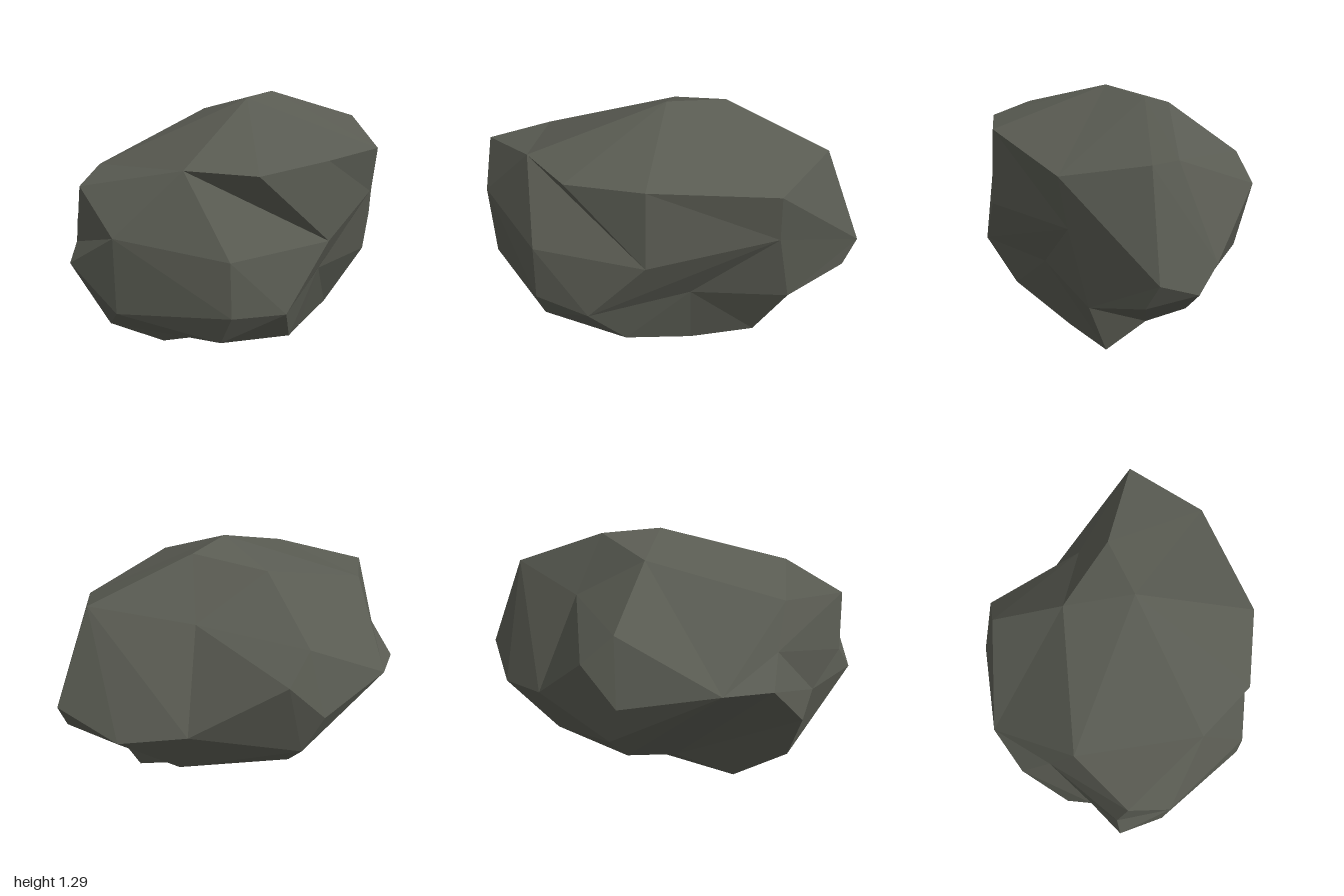
import * as THREE from 'three';
import { ConvexGeometry } from 'three/addons/geometries/ConvexGeometry.js';

// Corners of the boulder: x, y, z
const CORNERS = [
  .81, 1.08, 0, 1, .6, 0, .64, 1, .39, .28, 1.27, -.07, .01, 1.29, .08,
  -.03, 1.18, -.26, .06, 1.09, .66, -.33, 1.08, .65, -.59, 1.1, .44, -.94, 1.01, .12,
  -.71, 1.01, -.15, .36, .97, -.23, .13, .76, -.69, -.02, .9, -.64, -.06, .57, -.72,
  -.53, .65, -.6, -.73, .64, -.43, -.71, .79, -.28, -.83, .43, -.2, -.85, .55, -.07,
  -.95, .73, .07, -.89, .81, .32, -1, .64, .09, -.88, .43, .3, -.74, .18, -.07,
  -.45, 0, -.04, -.2, .18, -.27, -.02, .24, -.49, .51, .475, -.4, .48, .23, -.25,
  .8, .45, -.23, .01, .37, -.64, .06, .7, .68, -.5, .72, .67, -.22, .41, .72,
  -.5, .45, .68, .64, .75, .35, .22, .43, .43, .69, .375, .265, .94, .47, .05,
  .51, .05, .16, .2, .05, .31, -.08, .19, .57, -.5, .29, .59, .41, .14, -.06,
  -.43, .24, .27,
];
// Crease lines that run from corner to corner
const CREASES = [
  // top and back
  [8, 9, 10, 5, 3, 11, 0, 28, 11, 12, 13, 5, 11], [13, 15, 14, 31, 28, 12, 14],
  [5, 15, 10, 8, 4, 10],
  // right flank and underside
  [15, 31, 27, 29, 30, 28], [1, 30, 44, 29, 26, 44, 25, 26, 27],
  [30, 39, 38, 44, 40, 38], [40, 25, 41], [16, 26, 18, 25],
  // left flank
  [10, 17, 16, 19, 17, 20, 19, 18, 16], [9, 20, 22, 19, 24, 18], [24, 22, 23, 21],
  [9, 21, 22], [20, 21],
  // front
  [23, 24, 45, 25, 24, 43, 45, 41, 43, 23], [41, 42, 43, 34, 35, 43],
  [23, 35, 21, 33, 35], [21, 8, 33, 32, 8, 7, 32, 34, 33], [32, 6, 36, 32],
  [34, 36, 37, 34, 42, 37, 41], [40, 37, 38, 36, 2, 1, 38],
];

const has = (face, ...ids) => ids.every(i => face.includes(i));
const triple = (p, q, r) => p.dot(q.clone().cross(r));

// Triangles of the hull, as corner indices
function hullFaces(points) {
  const pos = new ConvexGeometry(points).attributes.position;
  const v = new THREE.Vector3(), faces = [];
  for (let i = 0; i < pos.count; i++) {
    v.fromBufferAttribute(pos, i);
    let best = 0;
    points.forEach((p, k) => {
      if (p.distanceToSquared(v) < points[best].distanceToSquared(v)) best = k;
    });
    if (i % 3 === 0) faces.push([]);
    faces[faces.length - 1].push(best);
  }
  return faces;
}

// Corners are rounded towards a ball, and dented ones pushed out, until a hull joins them all
function connect(rays) {
  const points = rays.map(r => {
    const p = new THREE.Vector3(r.x, r.y * 1.5, r.z * 1.4);
    return p.multiplyScalar(p.length() ** -.5);
  });
  let faces;
  for (let step = 0; step < 150; step++) {
    faces = hullFaces(points);
    const used = new Set(faces.flat());
    if (used.size === points.length) break;
    points.forEach((p, i) => { if (!used.has(i)) p.multiplyScalar(1.01); });
  }
  return faces;
}

// True where edge c-d, seen from the centre, crosses the line a-b
function crosses(rays, a, b, c, d) {
  if ([a, b].includes(c) || [a, b].includes(d)) return false;
  const [A, B, C, D] = [a, b, c, d].map(i => rays[i]);
  return triple(A, B, C) * triple(A, B, D) < 0 && triple(C, D, A) * triple(C, D, B) < 0
    && A.clone().add(B).dot(C.clone().add(D)) > 0;
}

// Swap the diagonal c-d of two neighbouring triangles, if both stay facing outwards
function flip(faces, rays, c, d) {
  const f = faces.find(t => has(t, c, d)), g = faces.find(t => t !== f && has(t, c, d));
  const k = f.findIndex(i => i !== c && i !== d);
  const a = f[k], b = g.find(i => i !== c && i !== d);
  const next = [[a, f[(k + 1) % 3], b], [a, b, f[(k + 2) % 3]]];
  if (next.some(t => triple(...t.map(i => rays[i])) <= 0)) return false;
  f.splice(0, 3, ...next[0]);
  g.splice(0, 3, ...next[1]);
  return true;
}

// Clear away the edges that cross a-b until the two corners are joined
function crease(faces, rays, a, b) {
  for (let step = 0; step < 40 && !faces.some(f => has(f, a, b)); step++) {
    const crossing = [];
    for (const f of faces) {
      f.forEach((c, i) => {
        const d = f[(i + 1) % 3];
        if (c < d && crosses(rays, a, b, c, d)) crossing.push([c, d]);
      });
    }
    const start = crossing.length ? step % crossing.length : 0;
    const order = [...crossing.slice(start), ...crossing.slice(0, start)];
    if (!order.some(([c, d]) => flip(faces, rays, c, d))) return;
  }
}

export function createModel() {
  const stone = new THREE.MeshStandardMaterial({ color: 0x595b52 });
  stone.name = 'darkStone';
  stone.flatShading = true;

  const corners = [];
  for (let i = 0; i < CORNERS.length; i += 3) corners.push(new THREE.Vector3().fromArray(CORNERS, i));
  const centre = new THREE.Vector3(0, .64, 0);
  const rays = corners.map(p => p.clone().sub(centre));
  const faces = connect(rays);
  for (const line of CREASES) {
    for (let i = 1; i < line.length; i++) crease(faces, rays, line[i - 1], line[i]);
  }

  // Faceted surface with the true, dented corners
  const geometry = new THREE.BufferGeometry().setFromPoints(faces.flat().map(i => corners[i]));
  geometry.computeVertexNormals();
  const boulder = new THREE.Mesh(geometry, stone);
  boulder.name = 'boulder';

  const group = new THREE.Group();
  group.name = 'rock';
  group.add(boulder);
  return group;
}
